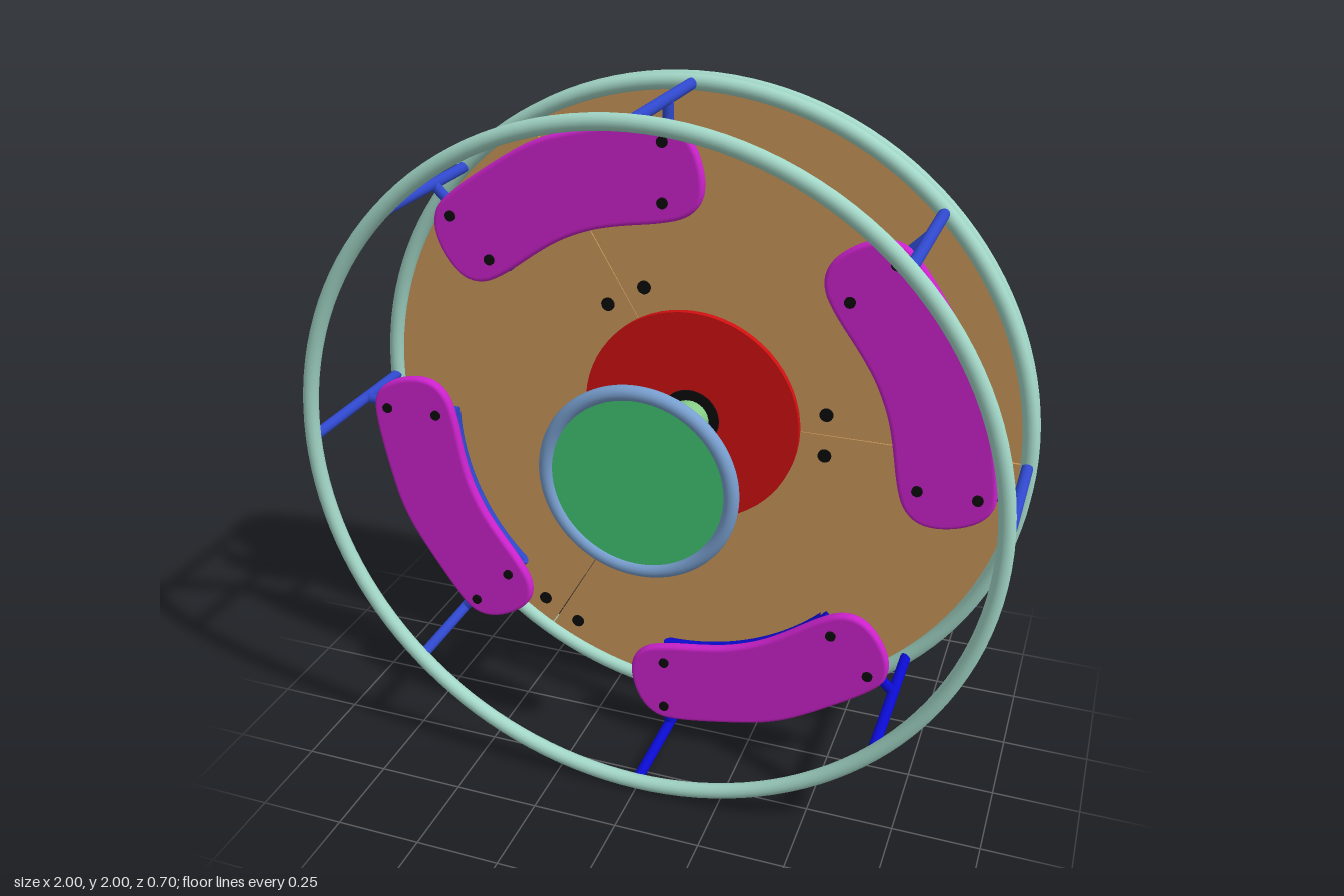
import * as THREE from 'three';

const mat = (color, side = THREE.FrontSide) => new THREE.MeshStandardMaterial({ color, side });
const MINT = mat(0xa2d6c6), BLUE = mat(0x2f48cc), DEEP = mat(0x0b0bd0), TAN = mat(0xc8965a);
const RED = mat(0xd01010), MAGENTA = mat(0xcc22cc), BLACK = mat(0x0a0a0a);
const GREEN = mat(0x2cb82c), PALE = mat(0x86cc86), JADE = mat(0x40c472), STEEL = mat(0x789fcf);
const DEG = Math.PI / 180;

export function createModel() {
  const model = new THREE.Group();
  const wheel = new THREE.Group();
  wheel.name = 'wheel';
  wheel.position.y = 1;
  model.add(wheel);

  const add = (name, geometry, material, parent = wheel) => {
    const mesh = new THREE.Mesh(geometry, material);
    mesh.name = name;
    parent.add(mesh);
    return mesh;
  };
  // Cylinder along z, from z0 to z1
  const disc = (name, r, z0, z1, material, x = 0, y = 0, parent = wheel, seg = 64) => {
    const g = new THREE.CylinderGeometry(r, r, z1 - z0, seg).rotateX(Math.PI / 2);
    const m = add(name, g, material, parent);
    m.position.set(x, y, (z0 + z1) / 2);
    return m;
  };
  const ring = (name, r, tube, z, material) => {
    add(name, new THREE.TorusGeometry(r, tube, 16, 128), material).position.z = z;
  };

  // Rim hoops
  ring('frontHoop', 0.977, 0.022, 0.323, MINT);
  ring('innerBackHoop', 0.977, 0.022, -0.165, MINT);
  ring('outerBackHoop', 0.977, 0.022, -0.206, MINT);

  // Round back board in three sectors, with paired bolts astride each seam
  for (let i = 0; i < 3; i++) {
    const a = i * 120 * DEG, gap = 0.002;
    const s = new THREE.Shape();
    s.absarc(0, 0, 0.972, a + gap, a + 120 * DEG - gap, false);
    s.absarc(0, 0, 0.2, a + 120 * DEG - gap, a + gap, true);
    s.closePath();
    const g = new THREE.ExtrudeGeometry(s, { depth: 0.03, bevelEnabled: false, curveSegments: 48 });
    add('backPanel', g, TAN).position.z = -0.2;
    const bolts = new THREE.Group();
    bolts.name = 'seamBolts';
    bolts.rotation.z = a;
    wheel.add(bolts);
    for (const r of [0.405, 0.89])
      for (const side of [-1, 1])
        disc('seamBolt', 0.02, -0.175, -0.164, BLACK, r, side * 0.065, bolts, 20);
  }

  // Hub plate and axle
  disc('hubPlate', 0.33, -0.222, -0.15, RED);
  disc('hubBearing', 0.09, -0.16, -0.144, BLACK);
  disc('hubCollar', 0.09, -0.24, -0.215, PALE);
  disc('axle', 0.06, -0.33, 0.28, PALE, 0, 0, wheel, 32);

  // Front cap with its rounded rim
  disc('frontCap', 0.26, 0.274, 0.295, JADE);
  ring('frontCapRim', 0.264, 0.021, 0.287, STEEL);

  // Rear flange with three lugs
  disc('rearFlange', 0.325, -0.352, -0.328, GREEN);
  for (const [x, y] of [[0.2, 0.055], [-0.15, 0.185], [-0.05, -0.17]])
    disc('flangeLug', 0.047, -0.33, -0.303, GREEN, x, y, wheel, 24);

  // Eight cross struts, each with a short spoke carrying a pad end
  for (let i = 0; i < 8; i++) {
    const arm = new THREE.Group();
    arm.name = 'strutAndSpoke';
    arm.rotation.z = i * 45 * DEG;
    wheel.add(arm);
    const m = i >= 6 ? DEEP : BLUE;
    disc('strut', 0.016, -0.16, 0.315, m, 0.975, 0, arm, 16);
    const spoke = add('spoke', new THREE.CylinderGeometry(0.015, 0.015, 0.31, 16).rotateZ(Math.PI / 2), m, arm);
    spoke.position.set(0.82, 0, 0.035);
  }

  // Pad outline: right half, mirrored to the left
  const bevel = 0.012;
  const half = [[0.12, 0.898], [0.34, 0.852], [0.388, 0.81], [0.4, 0.74], [0.383, 0.66],
    [0.345, 0.62], [0.28, 0.612], [0.1, 0.657]];
  const outline = [[0, 0.912], ...half, [0, 0.665], ...half.map(([x, y]) => [-x, y]).reverse()]
    .map(([x, y]) => new THREE.Vector2(x, y));
  // Round the corners with quadratic curves through edge midpoints
  const padShape = new THREE.Shape();
  const n = outline.length;
  const mid = (i) => outline[i % n].clone().lerp(outline[(i + 1) % n], 0.5);
  padShape.moveTo(mid(0).x, mid(0).y);
  for (let i = 1; i <= n; i++) {
    const c = outline[i % n], e = mid(i);
    padShape.quadraticCurveTo(c.x, c.y, e.x, e.y);
  }
  const padGeometry = new THREE.ExtrudeGeometry(padShape, {
    depth: 0.008, bevelEnabled: true, bevelThickness: bevel, bevelSize: bevel, bevelSegments: 5, curveSegments: 6,
  });

  // Four pads with bolts and a curved brace behind each
  for (let i = 0; i < 4; i++) {
    const pad = new THREE.Group();
    pad.name = 'padAssembly';
    pad.rotation.z = (i * 90 + 22.5 - 90) * DEG;
    wheel.add(pad);
    add('pad', padGeometry, MAGENTA, pad).position.z = 0.06;
    for (const r of [0.875, 0.715])
      for (const side of [-1, 1])
        disc('padBolt', 0.015, 0.04, 0.087, BLACK,
          side * r * Math.sin(22.5 * DEG), r * Math.cos(22.5 * DEG), pad, 16);
    const brace = add('curvedBrace', new THREE.TorusGeometry(0.67, 0.015, 12, 24, 45 * DEG), i === 3 ? DEEP : BLUE, pad);
    brace.rotation.z = 67.5 * DEG;
    brace.position.z = 0.035;
  }
  return model;
}
